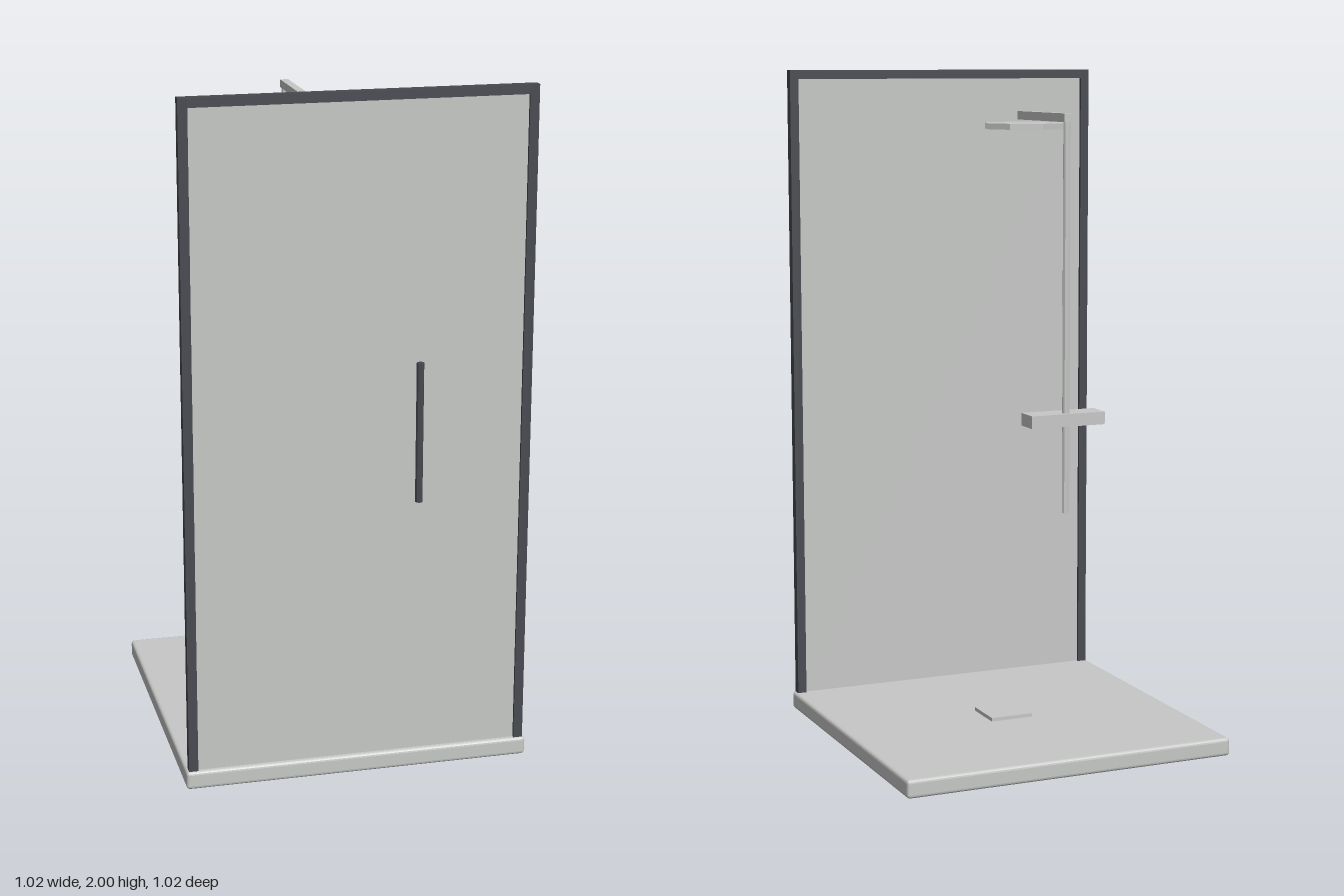
import * as THREE from 'three';
import { RoundedBoxGeometry } from 'three/addons/geometries/RoundedBoxGeometry.js';

export function createModel() {
  const root = new THREE.Group();
  root.name = 'showerCubicle';

  const paleGrey = new THREE.MeshStandardMaterial({ color: 0xc6c8c6 });
  paleGrey.name = 'pale grey';
  const darkMetal = new THREE.MeshStandardMaterial({ color: 0x484a50 });
  darkMetal.name = 'dark metal';
  for (const m of [paleGrey, darkMetal]) m.flatShading = true;

  const add = (name, geometry, material, x, y, z) => {
    const mesh = new THREE.Mesh(geometry, material);
    mesh.name = name;
    mesh.position.set(x, y, z);
    root.add(mesh);
    return mesh;
  };
  // box given by its low and high limits on each axis
  const box = (name, material, [x0, x1], [y0, y1], [z0, z1]) =>
    add(name, new THREE.BoxGeometry(x1 - x0, y1 - y0, z1 - z0), material,
      (x0 + x1) / 2, (y0 + y1) / 2, (z0 + z1) / 2);
  // upright cylinder between two heights
  const rod = (name, material, radius, sides, x, [y0, y1], z) =>
    add(name, new THREE.CylinderGeometry(radius, radius, y1 - y0, sides), material,
      x, (y0 + y1) / 2, z);

  // tray with softened edges, and the raised drain cover
  const trayTop = 0.054, trayZ = -0.0065;
  add('tray', new RoundedBoxGeometry(1.02, trayTop, 1.005, 2, 0.01), paleGrey,
    0, trayTop / 2, trayZ);
  box('drainCover', paleGrey, [-0.067, 0.067], [0.05, 0.065], [trayZ - 0.065, trayZ + 0.065]);

  // glass screen in its dark frame
  const frameZ = [0.461, 0.488];
  box('glassPanel', paleGrey, [-0.478, 0.478], [trayTop - 0.002, 1.975], [0.47, 0.48]);
  for (const side of [-1, 1]) {
    const edges = [side * 0.475, side * 0.502].sort((a, b) => a - b);
    box(side > 0 ? 'leftPost' : 'rightPost', darkMetal, edges, [trayTop - 0.002, 2], frameZ);
  }
  box('topRail', darkMetal, [-0.475, 0.475], [1.973, 2], frameZ);
  rod('doorHandle', darkMetal, 0.011, 8, 0.17, [0.825, 1.235], 0.499);

  // riser pipe, overhead arm, rain head and mixer
  rod('riserPipe', paleGrey, 0.011, 8, 0, [0.76, 1.87], -0.445);
  box('overheadArm', paleGrey, [-0.0125, 0.0125], [1.861, 1.885], [-0.456, -0.136]);
  rod('rainHead', paleGrey, 0.123, 8, 0, [1.835, 1.852], -0.163);
  box('mixerBar', paleGrey, [-0.113, 0.113], [1.01, 1.046], [-0.464, -0.39]);

  return root;
}
